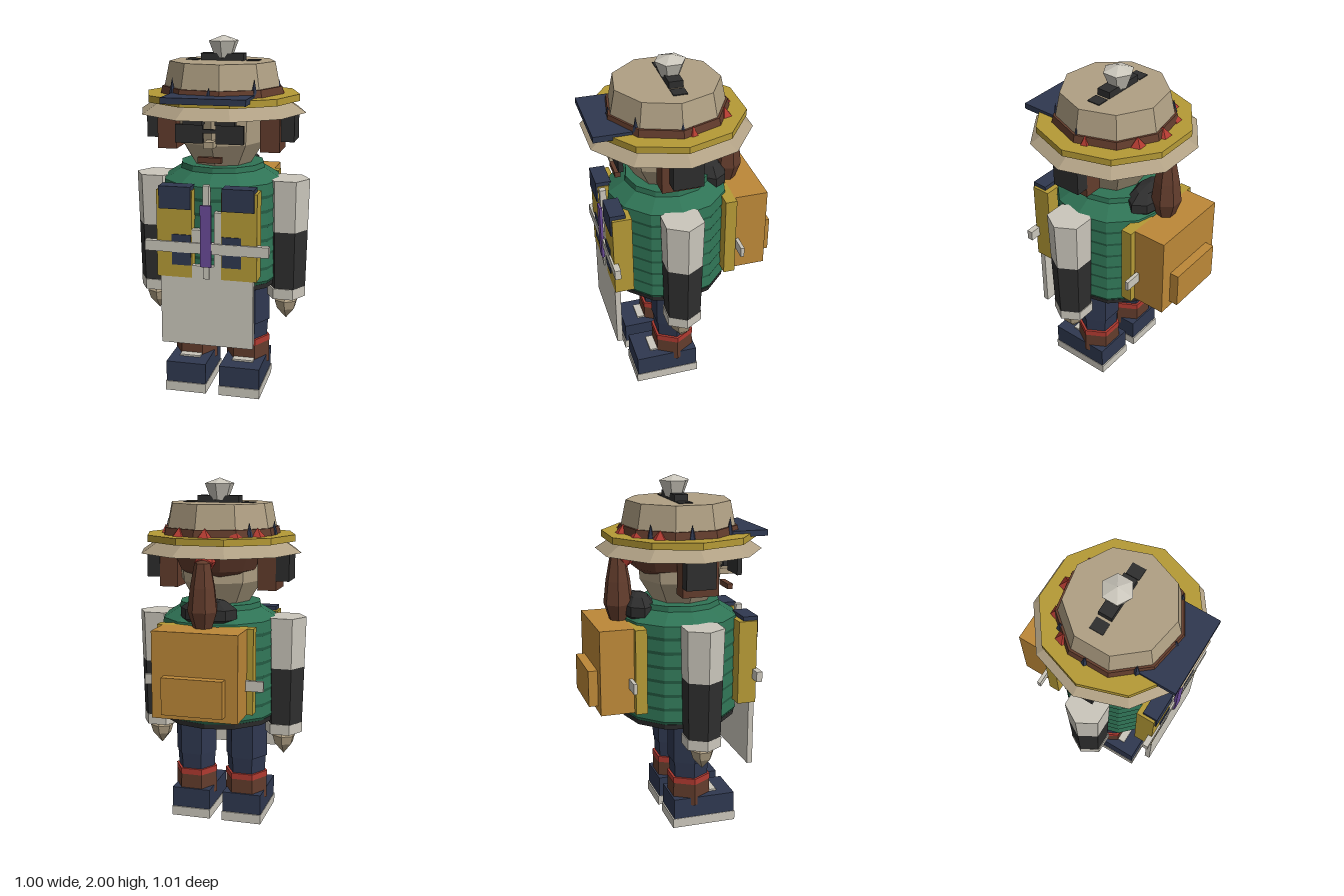
import * as THREE from 'three';

const mat = (name, color) => {
  const m = new THREE.MeshStandardMaterial({ color });
  m.name = name;
  return m;
};

export function createModel() {
  const root = new THREE.Group();
  root.name = 'explorer';
  const tan = mat('tan', 0xb0a084), yellow = mat('yellow', 0xb59a36), green = mat('green', 0x2f7355);
  const navy = mat('navy', 0x2f3850), black = mat('charcoal', 0x2e2e2e), light = mat('light grey', 0xcbc7bc);
  const brown = mat('brown', 0x623c2c), red = mat('red', 0xb03a30);
  const orange = mat('orange', 0xbd8838), purple = mat('purple', 0x6a4a98);
  const CZ = 0.06; // depth of the body axis

  // faceted mesh
  const add = (name, geo, material, x = 0, y = 0, z = 0) => {
    const g = geo.index ? geo.toNonIndexed() : geo;
    g.computeVertexNormals();
    const m = new THREE.Mesh(g, material);
    m.name = name;
    m.position.set(x, y, z);
    root.add(m);
    return m;
  };
  // box from its limits
  const box = (name, m, x0, x1, y0, y1, z0, z1) =>
    add(name, new THREE.BoxGeometry(x1 - x0, y1 - y0, z1 - z0), m, (x0 + x1) / 2, (y0 + y1) / 2, (z0 + z1) / 2);
  // box on both sides
  const pair = (name, m, x0, x1, ...r) => {
    box(name + 'Left', m, x0, x1, ...r);
    box(name + 'Right', m, -x1, -x0, ...r);
  };
  // prism with a corner on +x
  const prism = (name, m, rTop, rBot, y0, y1, sides, x = 0, z = CZ) =>
    add(name, new THREE.CylinderGeometry(rTop, rBot, y1 - y0, sides).rotateY(Math.PI / 2), m, x, (y0 + y1) / 2, z);
  // turned faceted solid; profile runs bottom to top
  const turned = (name, m, profile, sides, x = 0, z = CZ) =>
    add(name, new THREE.LatheGeometry(profile.map(p => new THREE.Vector2(...p)), sides), m, x, 0, z);

  // shoes, legs, arms
  for (const s of [1, -1]) {
    const side = s > 0 ? 'Left' : 'Right', lx = s * 0.155, ax = s * 0.378, lz = 0.077;
    box('sole' + side, light, lx - 0.118, lx + 0.118, 0, 0.055, -0.05, 0.328);
    box('shoe' + side, navy, lx - 0.115, lx + 0.115, 0.055, 0.175, -0.042, 0.322);
    box('tongue' + side, light, lx - 0.06, lx + 0.06, 0.17, 0.185, 0.1, 0.23);
    prism('sock' + side, brown, 0.124, 0.127, 0.13, 0.26, 6, lx, lz);
    prism('sockBand' + side, red, 0.127, 0.127, 0.26, 0.295, 6, lx, lz);
    prism('shin' + side, navy, 0.118, 0.112, 0.295, 0.39, 6, lx, lz);
    prism('thigh' + side, navy, 0.125, 0.125, 0.39, 0.68, 6, lx, lz);
    prism('sleeve' + side, light, 0.121, 0.114, 0.94, 1.23, 6, ax, 0.08);
    prism('forearm' + side, black, 0.114, 0.106, 0.605, 0.94, 6, ax, 0.08);
    prism('cuff' + side, light, 0.112, 0.112, 0.55, 0.61, 6, ax - s * 0.005, 0.08);
    turned('hand' + side, tan, [[0, 0.41], [0.055, 0.475], [0.07, 0.525], [0.05, 0.55], [0, 0.55]], 6, ax, 0.085);
  }

  // torso with gently padded bands
  const profile = [[0, 0.655], [0.33, 0.655]];
  for (let i = 0; i < 7; i++) {
    const y = 0.655 + i * 0.081;
    profile.push([0.342, y + 0.02], [0.334, y + 0.081]);
  }
  profile.push([0.24, 1.28], [0.235, 1.31], [0, 1.31]);
  turned('torso', green, profile, 12);
  prism('belt', black, 0.333, 0.328, 0.628, 0.657, 12);

  // vest front and back
  pair('vestFront', yellow, 0.08, 0.275, 0.73, 1.21, 0.33, 0.438);
  pair('vestBack', yellow, 0.08, 0.275, 0.73, 1.21, -0.265, -0.2);
  pair('upperPocket', navy, 0.085, 0.26, 1.11, 1.233, 0.36, 0.447);
  pair('lowerPocket', navy, 0.085, 0.19, 0.8, 0.97, 0.39, 0.444);
  box('frontStrap', light, -0.34, 0.34, 0.872, 0.93, 0.415, 0.449);
  box('backStrap', light, -0.34, 0.34, 0.872, 0.93, -0.295, -0.275);
  box('zip', light, -0.018, 0.016, 0.73, 1.245, 0.41, 0.445);
  box('stripLeft', light, 0.042, 0.08, 0.73, 1.1, 0.4, 0.438);
  box('stripRight', light, -0.08, -0.025, 0.93, 1.0, 0.4, 0.438);
  box('pullTab', purple, -0.03, 0.03, 0.8, 1.14, 0.44, 0.456);
  box('apron', light, -0.256, 0.256, 0.345, 0.8, 0.405, 0.437);

  // backpack and hood
  box('backpack', orange, -0.24, 0.24, 0.73, 1.21, -0.455, -0.262);
  box('packPocket', orange, -0.17, 0.17, 0.765, 0.97, -0.507, -0.45);
  add('hood', new THREE.SphereGeometry(0.1, 8, 5).scale(1.7, 0.9, 1), black, 0, 1.27, -0.18);

  // head and face
  turned('head', tan, [[0, 1.3], [0.16, 1.3], [0.24, 1.43], [0.255, 1.62], [0, 1.62]], 8, 0, 0.075);
  box('mouth', brown, -0.065, 0.065, 1.35, 1.38, 0.335, 0.367);
  box('nose', tan, -0.025, 0.025, 1.43, 1.465, 0.3, 0.385);
  pair('lens', black, 0.035, 0.185, 1.455, 1.553, 0.345, 0.372);
  pair('lensTop', black, 0.035, 0.14, 1.553, 1.575, 0.33, 0.385);
  box('bridge', black, -0.035, 0.035, 1.51, 1.53, 0.35, 0.37);

  // hair, ear pads, ponytail
  pair('sideHair', brown, 0.235, 0.342, 1.385, 1.62, -0.022, 0.18);
  pair('earPad', black, 0.34, 0.415, 1.44, 1.586, -0.025, 0.14);
  add('backHair', new THREE.SphereGeometry(0.25, 10, 6).scale(1, 0.6, 0.95), brown, 0, 1.575, 0);
  add('hairTie', new THREE.IcosahedronGeometry(0.06, 0), red, 0, 1.56, -0.25);
  const tail = turned('ponytail', brown,
    [[0, 1.2], [0.055, 1.21], [0.085, 1.3], [0.07, 1.43], [0.045, 1.56], [0, 1.58]], 7, 0, -0.29);
  tail.name = 'ponytail';

  // hat
  prism('brim', tan, 0.37, 0.467, 1.592, 1.657, 10);
  prism('brimTop', yellow, 0.43, 0.43, 1.655, 1.692, 10);
  prism('hatBand', brown, 0.332, 0.342, 1.69, 1.732, 9);
  prism('crown', tan, 0.292, 0.326, 1.70, 1.865, 9);
  box('visor', navy, -0.225, 0.225, 1.675, 1.708, 0.25, 0.505);
  for (const [m, name, a, r, h] of [
    [red, 'redTrim', 270, 0.05, 0.05], [red, 'redTrim', 300, 0.045, 0.05], [red, 'redTrim', 240, 0.045, 0.05],
    [red, 'redTrim', 350, 0.03, 0.05], [red, 'redTrim', 215, 0.045, 0.05],
    [navy, 'hatSpike', 45, 0.02, 0.1], [navy, 'hatSpike', 90, 0.02, 0.06], [navy, 'hatSpike', 135, 0.02, 0.1],
    [navy, 'hatSpike', 184, 0.02, 0.08], [navy, 'hatSpike', 225, 0.02, 0.08], [navy, 'hatSpike', 0, 0.02, 0.08]]) {
    const t = a * Math.PI / 180;
    add(name, new THREE.ConeGeometry(r, h, 5), m, 0.315 * Math.cos(t), 1.69 + h / 2, CZ + 0.315 * Math.sin(t));
  }

  // hat top blocks and bobble
  box('topBlock', black, -0.12, 0.12, 1.86, 1.903, 0, 0.077);
  pair('topPlate', black, 0.135, 0.203, 1.86, 1.87, 0, 0.077);
  turned('bobble', light, [[0, 1.87], [0.05, 1.88], [0.085, 1.97], [0, 2]], 6, 0, 0.035);

  return root;
}
